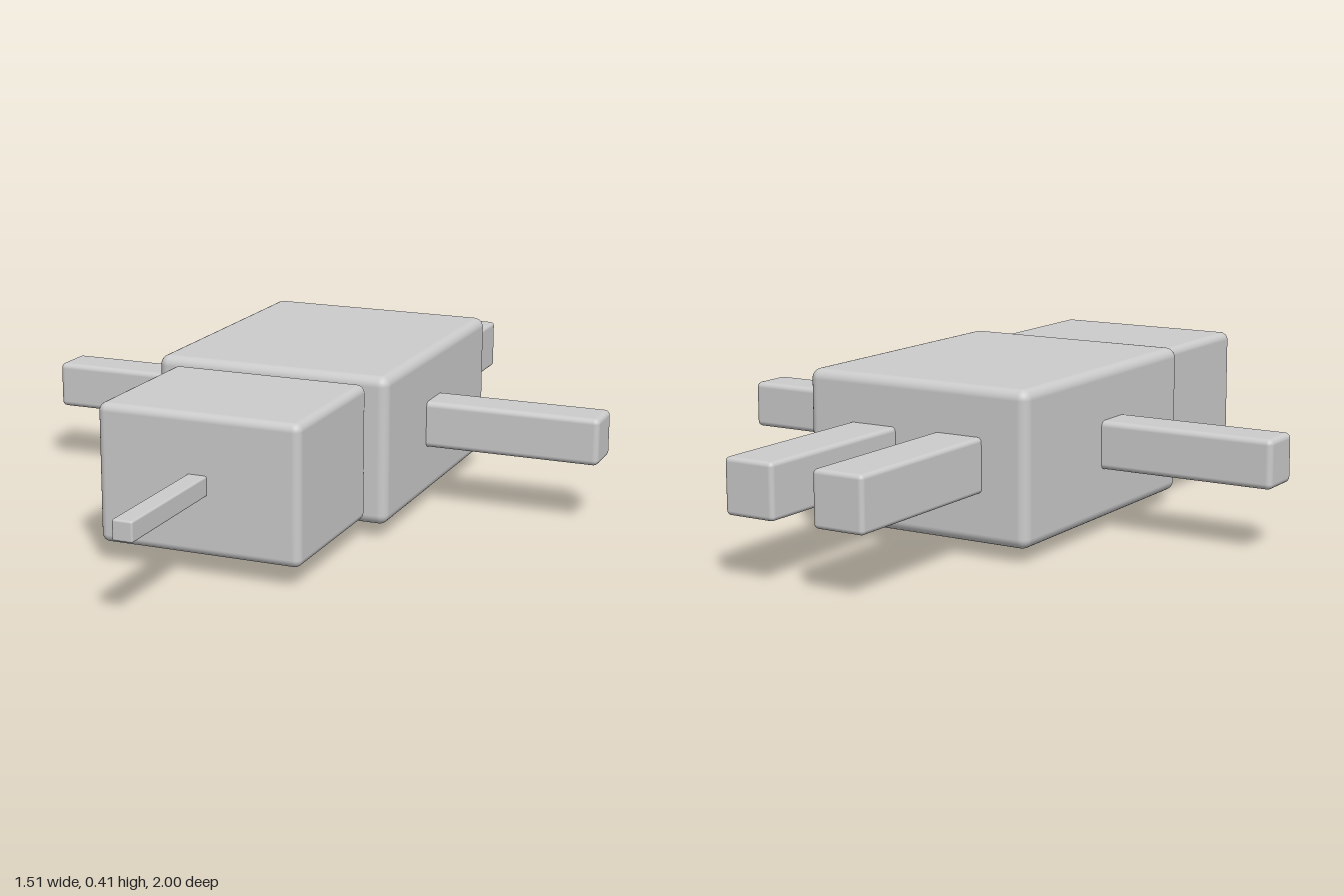
import * as THREE from 'three';
import { RoundedBoxGeometry } from 'three/addons/geometries/RoundedBoxGeometry.js';

const material = new THREE.MeshStandardMaterial({ color: 0xcccccc });

// Rounded block given by its extents along each axis
function block(name, [x0, x1], [y0, y1], [z0, z1], radius) {
  const geometry = new RoundedBoxGeometry(x1 - x0, y1 - y0, z1 - z0, 4, radius);
  const mesh = new THREE.Mesh(geometry, material);
  mesh.position.set((x0 + x1) / 2, (y0 + y1) / 2, (z0 + z1) / 2);
  mesh.name = name;
  return mesh;
}

export function createModel() {
  const model = new THREE.Group();
  model.name = 'blockFigure';

  // Torso and head, lying along z
  model.add(block('torso', [-0.308, 0.308], [0.034, 0.408], [-0.532, 0.222], 0.025));
  model.add(block('head', [-0.257, 0.257], [0.05, 0.391], [0.224, 0.636], 0.02));

  // Thin rod out of the front of the head
  model.add(block('rod', [-0.025, 0.025], [0.197, 0.246], [0.6, 1], 0.005));

  // Flat plates underneath
  model.add(block('torsoPlate', [-0.135, 0.135], [0, 0.06], [-0.186, -0.05], 0.004));
  model.add(block('headPlate', [-0.155, 0.155], [0.02, 0.08], [0.402, 0.537], 0.004));

  // Paired limbs
  for (const side of [1, -1]) {
    const label = side > 0 ? 'left' : 'right';
    const span = (a, b) => (side > 0 ? [a, b] : [-b, -a]);
    model.add(block(label + 'Arm', span(0.27, 0.757), [0.161, 0.281], [-0.18, -0.064], 0.014));
    model.add(block(label + 'Leg', span(0.054, 0.187), [0.156, 0.289], [-1, -0.49], 0.011));
  }
  return model;
}
